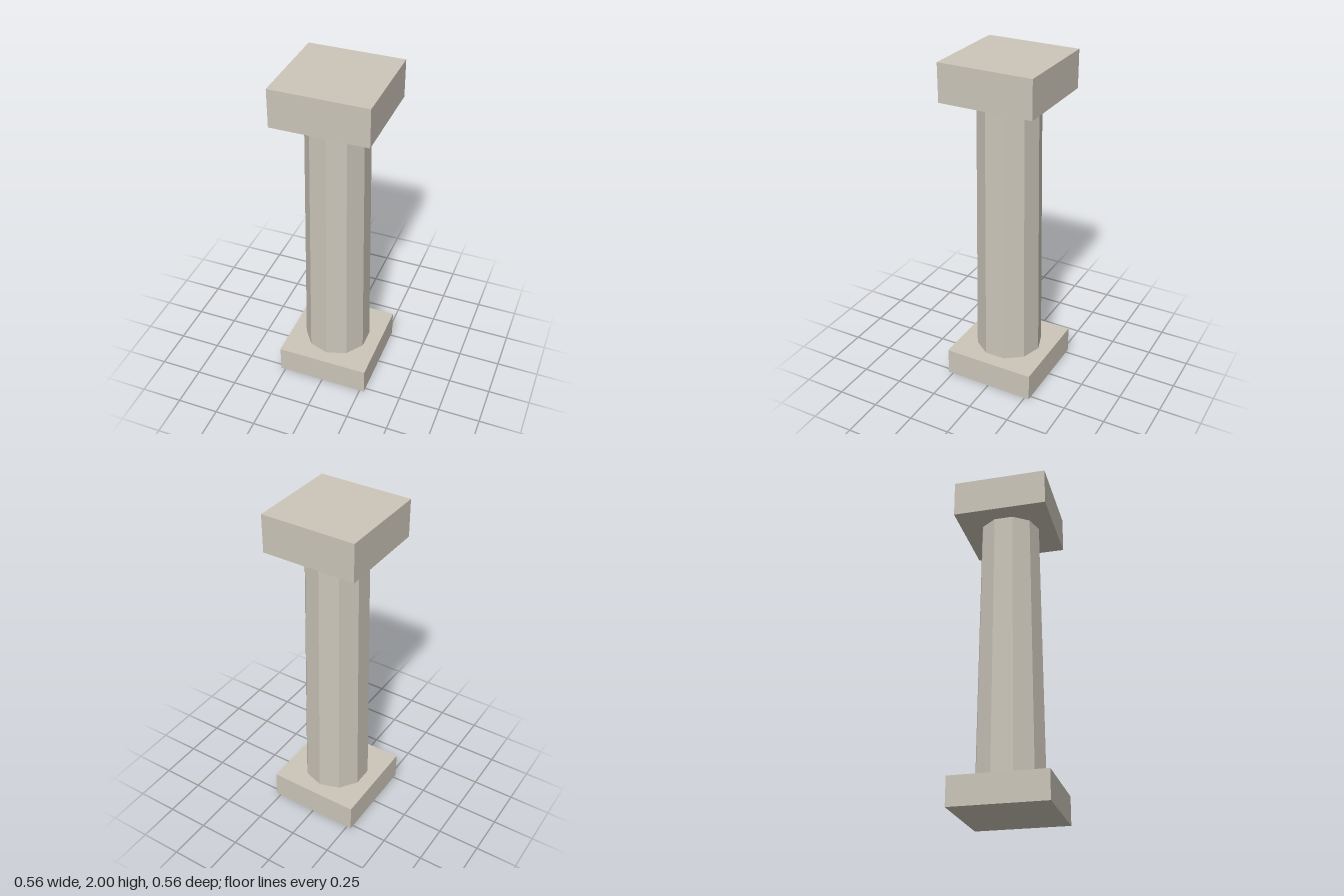
import * as THREE from 'three';

export function createModel() {
  const model = new THREE.Group();
  model.name = 'column';

  const stone = new THREE.MeshStandardMaterial({ color: 0xcbc5b9, flatShading: true });
  stone.name = 'pale stone';

  const slabWidth = 0.556, baseHeight = 0.167, capHeight = 0.222, totalHeight = 2;
  const shaftHeight = totalHeight - baseHeight - capHeight;

  // Adds a part standing with its bottom at the given height
  function addPart(name, geometry, height, bottom) {
    const mesh = new THREE.Mesh(geometry, stone);
    mesh.name = name;
    mesh.position.y = bottom + height / 2;
    model.add(mesh);
  }

  // Square base slab
  addPart('base', new THREE.BoxGeometry(slabWidth, baseHeight, slabWidth), baseHeight, 0);

  // Tapered ten-sided shaft
  addPart('shaft', new THREE.CylinderGeometry(0.18, 0.2, shaftHeight, 10), shaftHeight, baseHeight);

  // Thicker square capital
  addPart('capital', new THREE.BoxGeometry(slabWidth, capHeight, slabWidth), capHeight, totalHeight - capHeight);

  return model;
}
